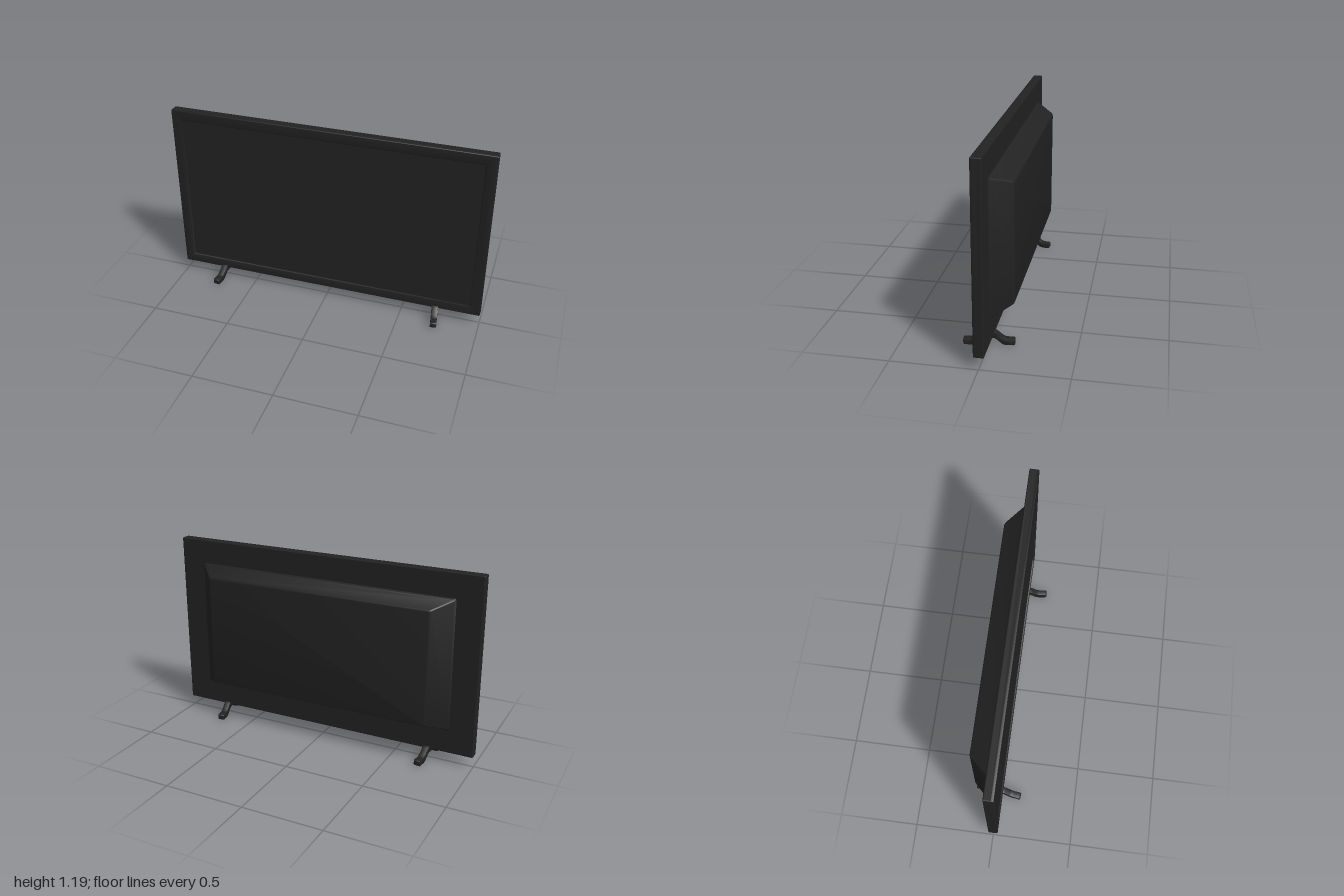
import * as THREE from 'three';
import { toCreasedNormals } from 'three/addons/utils/BufferGeometryUtils.js';
import { RoundedBoxGeometry } from 'three/addons/geometries/RoundedBoxGeometry.js';

const black = new THREE.MeshStandardMaterial({ color: 0x222222 });

function addMesh(parent, name, geometry) {
  const mesh = new THREE.Mesh(geometry, black);
  mesh.name = name;
  parent.add(mesh);
  return mesh;
}

// Traces a rectangle with rounded corners onto a shape or path.
function roundedRect(path, halfW, y0, y1, r) {
  path.absarc(halfW - r, y1 - r, r, 0, Math.PI / 2);
  path.absarc(-halfW + r, y1 - r, r, Math.PI / 2, Math.PI);
  path.absarc(-halfW + r, y0 + r, r, Math.PI, Math.PI * 1.5);
  path.absarc(halfW - r, y0 + r, r, Math.PI * 1.5, Math.PI * 2);
  path.closePath();
  return path;
}

// Bezel ring, its bevel kept inside the outline.
function bezelGeometry() {
  const shape = roundedRect(new THREE.Shape(), 1, 0.07, 1.185, 0.008);
  shape.holes.push(roundedRect(new THREE.Path(), 0.934, 0.131, 1.121, 0.008));
  const bevel = 0.005;
  const geometry = new THREE.ExtrudeGeometry(shape, {
    depth: 0.025, bevelEnabled: true, bevelSize: bevel, bevelThickness: bevel,
    bevelOffset: -bevel, bevelSegments: 3, curveSegments: 4,
  });
  return toCreasedNormals(geometry, 0.6);
}

// Tapered rear housing lofted through rounded rectangles, closed at the back.
function housingGeometry() {
  const sections = [ // z, half width, bottom, top
    [-0.027, 0.848, 0.215, 1.04],
    [-0.033, 0.840, 0.222, 1.032],
    [-0.042, 0.832, 0.228, 1.026],
    [-0.138, 0.738, 0.266, 0.985],
    [-0.144, 0.731, 0.270, 0.981],
    [-0.147, 0.722, 0.277, 0.974],
  ];
  const positions = [], indices = [];
  let n = 0;
  sections.forEach(([z, halfW, y0, y1]) => {
    const points = roundedRect(new THREE.Shape(), halfW, y0, y1, 0.01).getPoints(4);
    points.pop();
    n = points.length;
    points.forEach((p) => positions.push(p.x, p.y, z));
  });
  for (let s = 0; s < sections.length - 1; s++) {
    for (let i = 0; i < n; i++) {
      const a = s * n + i, b = s * n + (i + 1) % n;
      indices.push(a, a + n, b, b, a + n, b + n);
    }
  }
  const last = (sections.length - 1) * n;
  for (let i = 1; i < n - 1; i++) indices.push(last, last + i + 1, last + i);
  const geometry = new THREE.BufferGeometry();
  geometry.setAttribute('position', new THREE.Float32BufferAttribute(positions, 3));
  geometry.setIndex(indices);
  return toCreasedNormals(geometry, 0.6);
}

// Arched foot: side profile with softened bends, extruded across its width.
function footGeometry() {
  const half = [ // distance from centre, height, bend radius
    [0.032, 0.083, 0.012], [0.092, 0.034, 0.02], [0.147, 0.034, 0.008],
    [0.147, 0.003, 0.008], [0.084, 0.003, 0.02], [0.034, 0.047, 0.015],
  ];
  const corners = [...half, ...half.slice().reverse().map(([x, y, r]) => [-x, y, r])];
  const shape = new THREE.Shape();
  corners.forEach(([x, y, r], i) => {
    const p = new THREE.Vector2(x, y);
    const toward = (j) => {
      const q = corners[(j + corners.length) % corners.length];
      return new THREE.Vector2(q[0], q[1]).sub(p).setLength(r).add(p);
    };
    const start = toward(i - 1), end = toward(i + 1);
    if (i === 0) shape.moveTo(start.x, start.y);
    else shape.lineTo(start.x, start.y);
    shape.quadraticCurveTo(p.x, p.y, end.x, end.y);
  });
  shape.closePath();
  const bevel = 0.003;
  const geometry = new THREE.ExtrudeGeometry(shape, {
    depth: 0.034, bevelEnabled: true, bevelSize: bevel, bevelThickness: bevel,
    bevelOffset: 0, bevelSegments: 2, curveSegments: 5,
  });
  geometry.translate(0, 0, -0.017);
  geometry.rotateY(-Math.PI / 2);
  geometry.scale(1, 1, 0.147 / 0.15);
  return toCreasedNormals(geometry, 0.6);
}

export function createModel() {
  const model = new THREE.Group();
  model.name = 'television';

  // Panel: flat body whose front face is the recessed screen, with a bezel
  const body = addMesh(model, 'screenPanel', new RoundedBoxGeometry(2, 1.115, 0.05, 3, 0.006));
  body.position.set(0, 0.6275, -0.005);
  addMesh(model, 'bezel', bezelGeometry()).position.z = 0;
  addMesh(model, 'rearHousing', housingGeometry());

  // Feet, splayed outward toward the front
  const foot = footGeometry();
  for (const side of [1, -1]) {
    const mesh = addMesh(model, side > 0 ? 'leftFoot' : 'rightFoot', foot);
    mesh.position.x = side * 0.714;
    mesh.rotation.y = side * 0.14;
  }
  return model;
}
